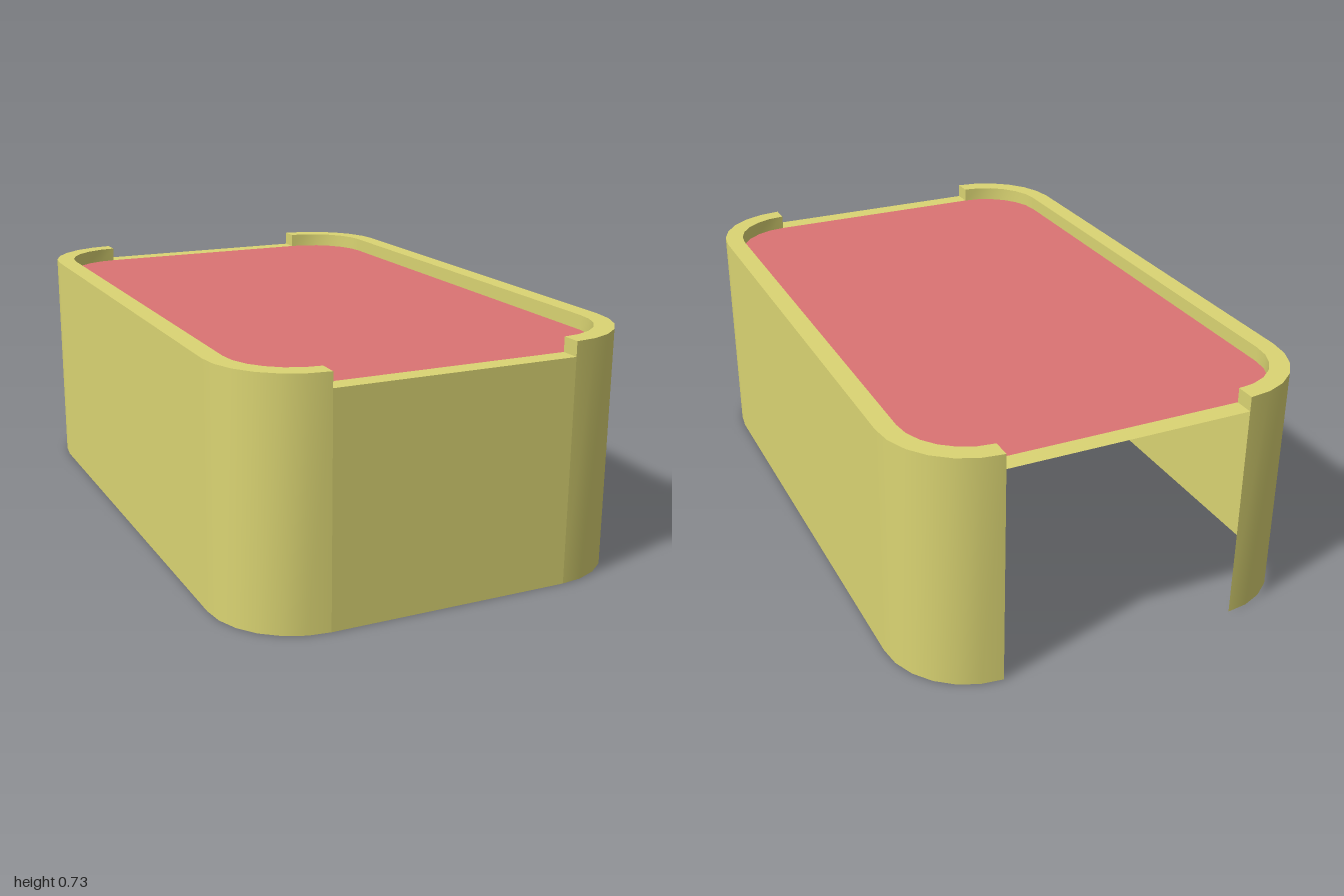
import * as THREE from 'three';

const TOP = 0.73, DECK = 0.685;      // lip height, deck and notch height
const CX = 0.375, CZ = 0.74;         // corner centres
const R_OUT = 0.26, R_IN = 0.2;      // corner radii, outside and inside of the lip
const STEPS = 6;

const yellow = new THREE.MeshStandardMaterial({ color: 0xdbd573, side: THREE.DoubleSide });
const red = new THREE.MeshStandardMaterial({ color: 0xdb7373, side: THREE.DoubleSide });

// One rounded corner as [x, z] points, starting at the given angle
function corner(sx, sz, r, start) {
  return Array.from({ length: STEPS + 1 }, (_, i) => {
    const a = start + (i / STEPS) * Math.PI / 2;
    return [sx * CX + r * Math.cos(a), sz * CZ + r * Math.sin(a)];
  });
}

// The +x half of the outline, running from back to front
const half = r => [...corner(1, -1, r, -Math.PI / 2), ...corner(1, 1, r, 0)];

// Sheet between two paths of [x, z] points at heights ya and yb
function ribbon(name, a, ya, b, yb) {
  const pos = [], index = [];
  a.forEach((p, i) => {
    pos.push(p[0], ya, p[1], b[i][0], yb, b[i][1]);
    if (i) {
      const k = 2 * i - 2;
      index.push(k, k + 1, k + 2, k + 1, k + 3, k + 2);
    }
  });
  const g = new THREE.BufferGeometry();
  g.setAttribute('position', new THREE.Float32BufferAttribute(pos, 3));
  g.setIndex(index);
  g.computeVertexNormals();
  const mesh = new THREE.Mesh(g, yellow);
  mesh.name = name;
  return mesh;
}

// Side wall with wrapped corners and a raised hollow lip
function sideShell(name) {
  const out = half(R_OUT), inn = half(R_IN), n = out.length - 1;
  const frontEnd = [out[n], inn[n]], backEnd = [inn[0], out[0]];
  const g = new THREE.Group();
  g.name = name;
  g.add(
    ribbon('sideWall', out, 0, out, TOP),
    ribbon('lipTop', out, TOP, inn, TOP),
    ribbon('lipInside', inn, TOP, inn, DECK),
    ribbon('frontLipEnd', frontEnd, DECK, frontEnd, TOP),
    ribbon('backLipEnd', backEnd, DECK, backEnd, TOP)
  );
  return g;
}

export function createModel() {
  const model = new THREE.Group();
  model.name = 'openTray';

  const left = sideShell('leftShell');
  const right = sideShell('rightShell');
  right.rotation.y = Math.PI;
  model.add(left, right);

  // Front wall; the back stays open under its ledge
  const outer = [[CX, CZ + R_OUT], [-CX, CZ + R_OUT]];
  const inner = [[CX, CZ + R_IN], [-CX, CZ + R_IN]];
  const backLedge = ribbon('backLedge', outer, DECK, inner, DECK);
  backLedge.rotation.y = Math.PI;
  model.add(
    ribbon('frontWall', outer, 0, outer, DECK),
    ribbon('frontLedge', outer, DECK, inner, DECK),
    backLedge
  );

  // Rounded deck panel inside the lip
  const rim = half(R_IN);
  const outline = [...rim, ...rim.map(([x, z]) => [-x, -z])];
  const shape = new THREE.Shape(outline.map(([x, z]) => new THREE.Vector2(x, z)));
  const deck = new THREE.Mesh(new THREE.ShapeGeometry(shape).rotateX(-Math.PI / 2), red);
  deck.position.y = DECK;
  deck.name = 'deckPanel';
  model.add(deck);

  return model;
}
